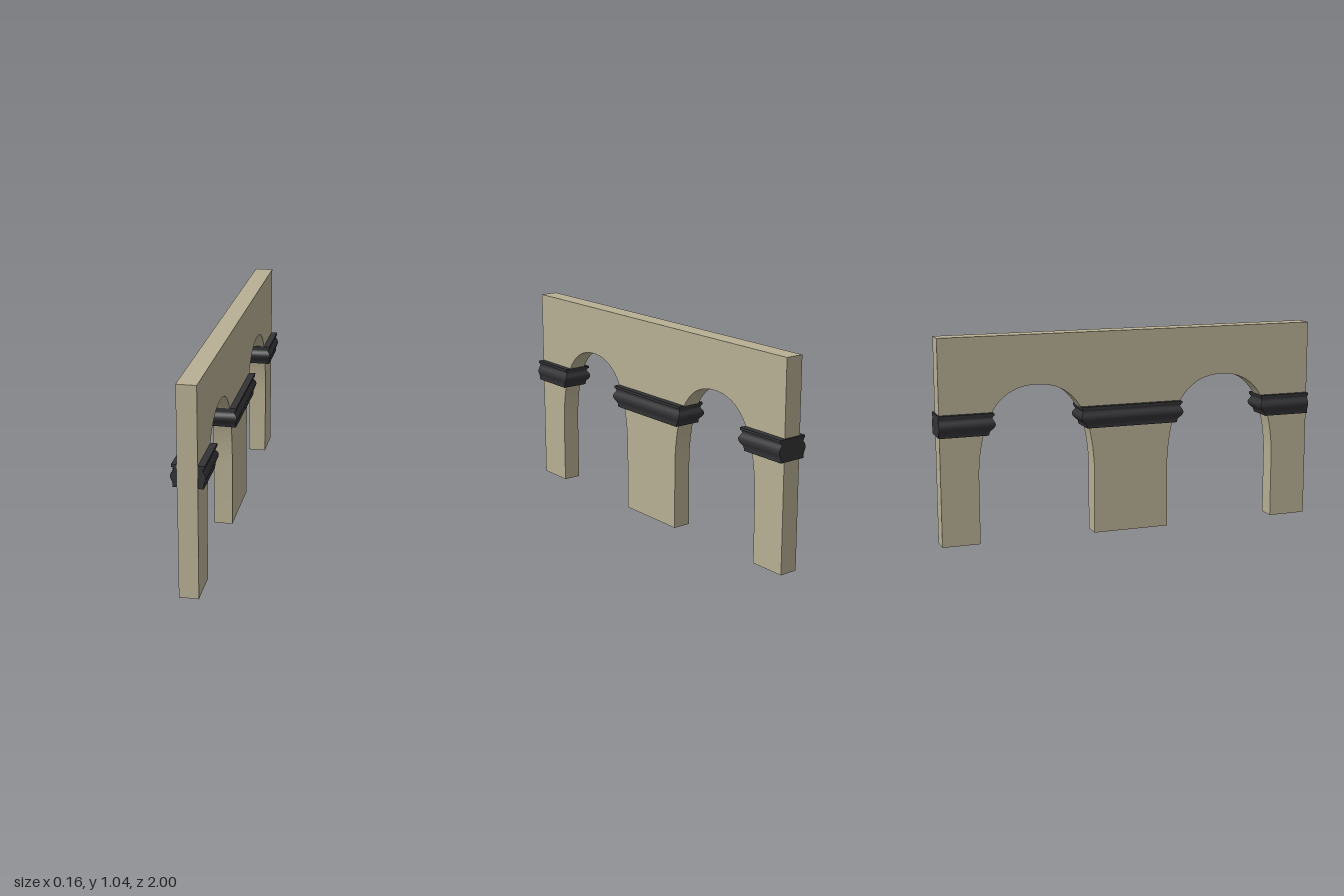
import * as THREE from 'three';
import { toCreasedNormals } from 'three/addons/utils/BufferGeometryUtils.js';

const stone = new THREE.MeshStandardMaterial({ color: 0xb8b094 });
const dark = new THREE.MeshStandardMaterial({ color: 0x333336 });

const BACK = -0.993, FRONT = 1, TOP = 1.04, CROWN = 0.79;
const WALL_X = 0.042, THICKNESS = 0.094;

// Moulding profile: [height, half width across the wall, half length along it]
const PROFILE = [
  [0.553, 0.071, 0.243], [0.572, 0.071, 0.248], [0.578, 0.073, 0.254],
  [0.588, 0.077, 0.266], [0.598, 0.081, 0.273], [0.608, 0.0815, 0.276],
  [0.618, 0.079, 0.274], [0.627, 0.073, 0.268], [0.635, 0.067, 0.264],
  [0.641, 0.066, 0.263], [0.641, 0.069, 0.266], [0.649, 0.070, 0.267],
  [0.650, 0.076, 0.271], [0.663, 0.076, 0.271],
];

// Wall outline, drawn as (z, y), with two arched openings
function wallGeometry() {
  const s = new THREE.Shape();
  s.moveTo(BACK, 0);
  for (const c of [-0.5, 0.5]) {
    s.lineTo(c - 0.3, 0);
    s.lineTo(c - 0.3, 0.36);
    s.bezierCurveTo(c - 0.29, 0.56, c - 0.24, CROWN, c, CROWN);
    s.bezierCurveTo(c + 0.24, CROWN, c + 0.29, 0.56, c + 0.3, 0.36);
    s.lineTo(c + 0.3, 0);
  }
  s.lineTo(FRONT, 0);
  s.lineTo(FRONT, TOP);
  s.lineTo(BACK, TOP);
  s.closePath();
  const g = new THREE.ExtrudeGeometry(s, { depth: THICKNESS, bevelEnabled: false, curveSegments: 20 });
  g.rotateY(-Math.PI / 2);
  g.translate(WALL_X, 0, 0);
  return toCreasedNormals(g, 0.5);
}

// Capped stack of rectangular rings; zRange gives the two ends for a half length
function mouldingGeometry(zRange) {
  const cx = -0.002;
  const rings = PROFILE.map(([y, w, h]) => {
    const [z0, z1] = zRange(h);
    return [[cx + w, y, z1], [cx + w, y, z0], [cx - w, y, z0], [cx - w, y, z1]];
  });
  const pos = [];
  const quad = (a, b, c, d) => pos.push(...a, ...b, ...c, ...a, ...c, ...d);
  for (let i = 0; i < rings.length - 1; i++) {
    for (let j = 0; j < 4; j++) {
      const k = (j + 1) % 4;
      quad(rings[i][j], rings[i][k], rings[i + 1][k], rings[i + 1][j]);
    }
  }
  quad(...rings[rings.length - 1]);
  quad(...[...rings[0]].reverse());
  const g = new THREE.BufferGeometry();
  g.setAttribute('position', new THREE.Float32BufferAttribute(pos, 3));
  return toCreasedNormals(g, 0.6);
}

export function createModel() {
  const group = new THREE.Group();
  group.name = 'doubleArchWall';
  const add = (name, geometry, material) => {
    const mesh = new THREE.Mesh(geometry, material);
    mesh.name = name;
    group.add(mesh);
  };

  add('archedWall', wallGeometry(), stone);

  // Mouldings around the three piers, cut off flat at the wall ends
  add('frontPierMoulding', mouldingGeometry((h) => [0.994 - h, 0.998]), dark);
  add('middlePierMoulding', mouldingGeometry((h) => [-h, h]), dark);
  add('backPierMoulding', mouldingGeometry((h) => [-1, h - 0.994]), dark);
  return group;
}
